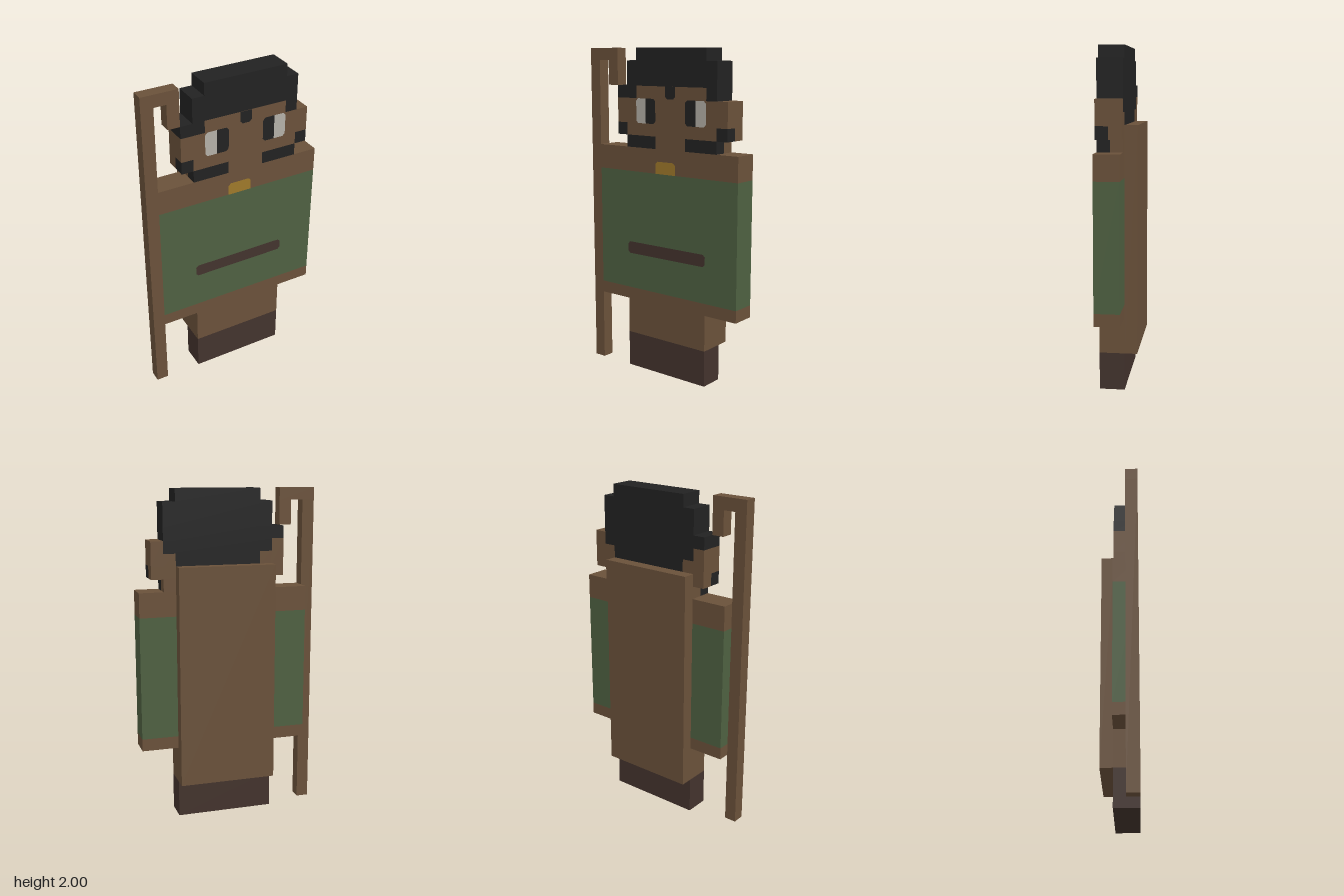
import * as THREE from 'three';

const U = 2 / 27; // one block; the figure is 15 x 27 x 3 blocks
const X = i => (i - 7.5) * U, Y = j => j * U, Z = k => (k - 1.5) * U;

const mat = (name, color) => new THREE.MeshStandardMaterial({ name, color });

export function createModel() {
  const model = new THREE.Group();
  const brown = mat('brown', 0x6a513a);
  const black = mat('black', 0x222222);
  const green = mat('green', 0x4e6041);
  const darkBrown = mat('darkBrown', 0x43332d);
  const white = mat('eyeWhite', 0xb3afa7);
  const gold = mat('gold', 0x9e782a);

  // Each part is a group of boxes given as block corners [x0, y0, z0, x1, y1, z1]
  const part = (name, material, boxes) => {
    const group = new THREE.Group();
    group.name = name;
    for (const [x0, y0, z0, x1, y1, z1] of boxes) {
      const geo = new THREE.BoxGeometry((x1 - x0) * U, (y1 - y0) * U, (z1 - z0) * U);
      const mesh = new THREE.Mesh(geo, material);
      mesh.name = name + 'Block';
      mesh.position.set(X((x0 + x1) / 2), Y((y0 + y1) / 2), Z((z0 + z1) / 2));
      group.add(mesh);
    }
    model.add(group);
  };

  // Painted front plate; cuts = which corners are clipped: bottom-left, bottom-right, top-right, top-left
  const plate = (name, material, x0, y0, x1, y1, cuts) => {
    const corners = [[x0, y0, 1, 1], [x1, y0, -1, 1], [x1, y1, -1, -1], [x0, y1, 1, -1]];
    const pts = [];
    corners.forEach(([x, y, dx, dy], i) => {
      if (!cuts[i]) return pts.push(new THREE.Vector2(X(x), Y(y)));
      const a = new THREE.Vector2(X(x + dx * 0.2), Y(y));
      const b = new THREE.Vector2(X(x), Y(y + dy * 0.2));
      pts.push(...(i % 2 ? [a, b] : [b, a]));
    });
    const mesh = new THREE.Mesh(new THREE.ShapeGeometry(new THREE.Shape(pts)), material);
    mesh.name = name;
    mesh.position.z = Z(3) + 0.002;
    model.add(mesh);
  };

  // Legs and boots
  part('boots', darkBrown, [[4, 0, 1, 12, 3, 3]]);
  part('legs', brown, [[4, 3, 1, 12, 6, 3]]);

  // Torso with the green tunic between brown hem and shoulders
  part('hem', brown, [[1, 6, 1, 15, 7, 3]]);
  part('tunic', green, [[1, 7, 1, 15, 17, 3]]);
  part('shoulders', brown, [[1, 17, 1, 15, 19, 3]]);
  plate('belt', darkBrown, 4, 10, 12, 11, [1, 1, 1, 1]);
  plate('clasp', gold, 7, 17, 9, 18, [0, 0, 1, 1]);

  // Cape on the back
  part('cape', brown, [[4, 3, 0, 12, 21, 1]]);

  // Head
  part('head', brown, [
    [5, 23, 2, 12, 24, 3], [4, 20, 2, 13, 23, 3], [4, 21, 1, 5, 22, 2], [12, 21, 1, 13, 22, 2],
    [4, 20, 1, 13, 21, 2], [4, 19, 1, 13, 20, 2], [7, 19, 2, 10, 20, 3],
  ]);
  part('beard', black, [[4, 19, 2, 7, 20, 3], [10, 19, 2, 13, 20, 3]]);
  for (const [side, x] of [['right', 3], ['left', 13]]) {
    part(side + 'Ear', brown, [[x, 21, 1, x + 1, 23, 3], [x, 20, 1, x + 1, 21, 2]]);
    part(side + 'Sideburn', black, [[x, 20, 2, x + 1, 21, 3]]);
  }

  // Hair: crown, temples and back of the head
  part('hair', black, [
    [5, 26, 1, 12, 27, 3], [4, 24, 1, 13, 26, 3], [3, 23, 1, 5, 24, 3], [12, 23, 1, 13, 24, 3],
    [5, 23, 1, 12, 24, 2], [4, 22, 1, 13, 23, 2], [5, 21, 1, 12, 22, 2],
  ]);
  plate('fringe', black, 8, 23, 9, 24, [1, 1, 0, 0]);

  // Eyes
  plate('rightEyeWhite', white, 5, 21, 6, 23, [1, 0, 0, 1]);
  plate('rightPupil', black, 6, 21, 7, 23, [0, 1, 1, 0]);
  plate('leftPupil', black, 10, 21, 11, 23, [1, 0, 0, 1]);
  plate('leftEyeWhite', white, 11, 21, 12, 23, [0, 1, 1, 0]);

  // Hooked staff
  part('staff', brown, [[0, 0, 2, 1, 26, 3], [0, 26, 2, 3, 27, 3], [2, 24, 2, 3, 26, 3]]);

  return model;
}
